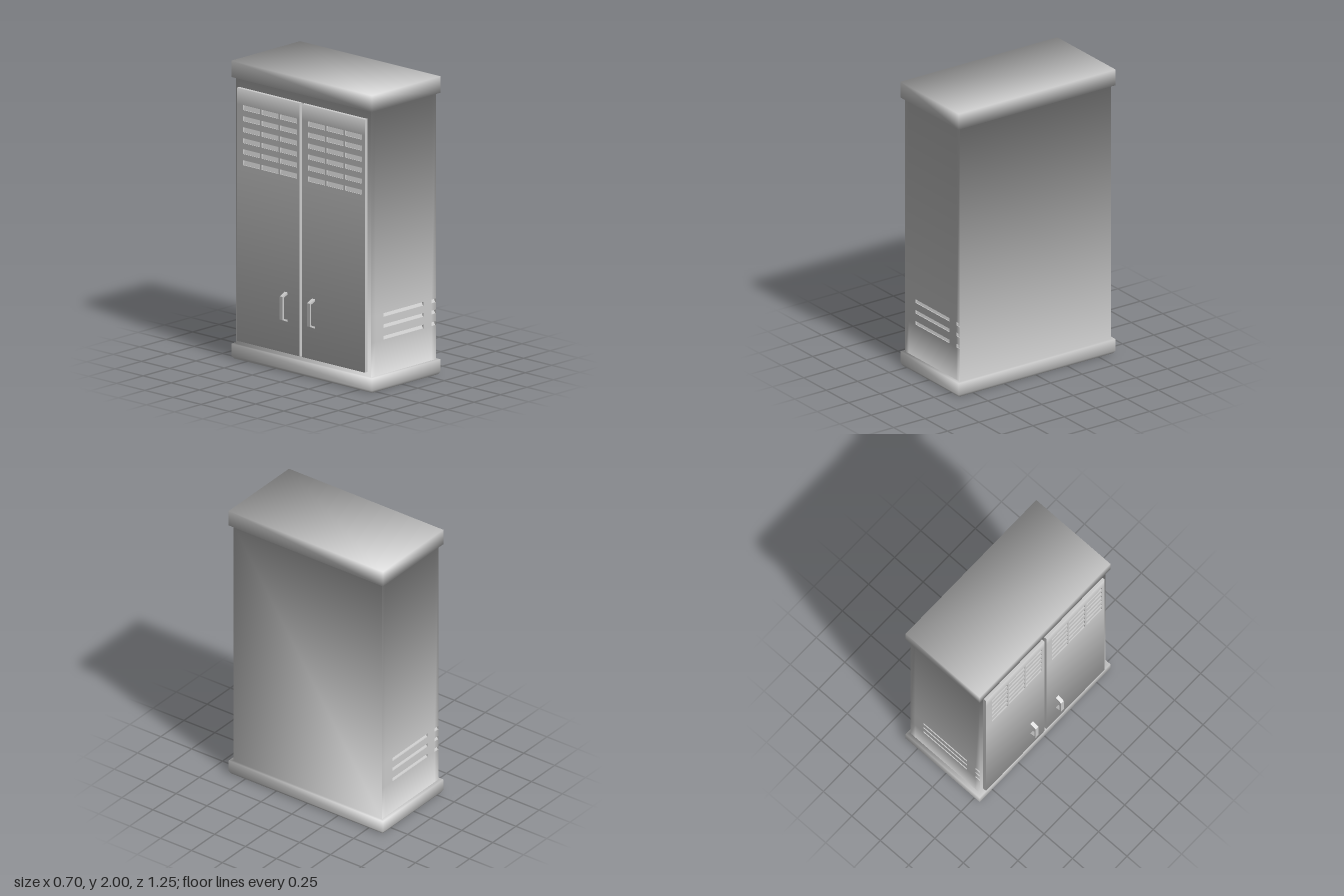
import * as THREE from 'three';

const material = new THREE.MeshStandardMaterial({ color: 0xcccccc });
const vec = (x, y, z) => new THREE.Vector3(x, y, z);
const vertex = (p, n) => ({ p, n: n.normalize() });

// Collects quads of {p, n} vertices, counter-clockwise from outside
class QuadBuilder {
  constructor() {
    this.points = [];
    this.normals = [];
  }

  quad(a, b, c, d) {
    for (const v of [a, b, c, a, c, d]) {
      this.points.push(v.p.x, v.p.y, v.p.z);
      this.normals.push(v.n.x, v.n.y, v.n.z);
    }
  }

  // Flat-shaded quad from plain points
  flatQuad(a, b, c, d) {
    const n = vec().crossVectors(c.clone().sub(a), d.clone().sub(b));
    this.quad(...[a, b, c, d].map(p => vertex(p, n)));
  }

  // Panel on a u/v grid; cells with odd column and odd row are recessed louvre slots
  slottedPanel(us, vs, depth, place, normalAt) {
    for (let i = 0; i < us.length - 1; i++) {
      for (let j = 0; j < vs.length - 1; j++) {
        const cells = [[i, j], [i + 1, j], [i + 1, j + 1], [i, j + 1]];
        const outer = cells.map(([a, b]) => place(us[a], vs[b], 0));
        if (!(i % 2 && j % 2)) {
          this.quad(...cells.map(([a, b], k) => vertex(outer[k], normalAt(a, b))));
          continue;
        }
        // Sloping floor: shallow at the lower lip, deep under the upper one
        const inner = cells.map(([a, b]) => place(us[a], vs[b], b === j ? depth * 0.3 : depth));
        this.flatQuad(...inner);
        for (let k = 0; k < 4; k++) {
          const n = (k + 1) % 4;
          this.flatQuad(outer[k], outer[n], inner[n], inner[k]);
        }
      }
    }
  }

  geometry() {
    const g = new THREE.BufferGeometry();
    g.setAttribute('position', new THREE.Float32BufferAttribute(this.points, 3));
    g.setAttribute('normal', new THREE.Float32BufferAttribute(this.normals, 3));
    return g;
  }
}

const CENTER_X = 0.025;

// Rectangle of corners with outward normals; tilt leans them up or down
function ring(y, halfX, halfZ, tilt) {
  return [[1, 1], [1, -1], [-1, -1], [-1, 1]].map(([sx, sz]) =>
    vertex(vec(CENTER_X + sx * halfX, y, sz * halfZ), vec(sx, tilt, sz)));
}

// Cabinet shell: plinth, body and top cap in one softly shaded skin
function cabinetGeometry() {
  const b = new QuadBuilder();
  const band = (lo, hi, sides = [0, 1, 2, 3]) => {
    for (const k of sides) {
      const n = (k + 1) % 4;
      b.quad(lo[n], hi[n], hi[k], lo[k]);
    }
  };
  const plinth = [
    ring(0, 0.312, 0.612, -1.2), ring(0.02, 0.325, 0.625, -0.3),
    ring(0.1, 0.325, 0.625, 1), ring(0.1, 0.305, 0.6, 0.6),
  ];
  const cap = [ring(1.89, 0.305, 0.6, -2.5), ring(1.89, 0.325, 0.625, -1), ring(2, 0.325, 0.625, 1)];
  for (const rings of [plinth, cap]) {
    for (let i = 0; i < rings.length - 1; i++) band(rings[i], rings[i + 1]);
  }
  const [t0, t1, t2, t3] = cap[2];
  b.quad(t1, t2, t3, t0);
  b.quad(...[...plinth[0]].reverse());

  // Long plain sides
  band(plinth[3], cap[0], [0, 2]);

  // Narrow ends with three vent slots, rounded off by shading at the corners
  const rows = [0.1, 0.33, 0.355, 0.408, 0.433, 0.483, 0.508, 1.89];
  const columns = [-0.28, -0.24, -0.165, 0.215, 0.29, 0.33];
  for (const s of [1, -1]) {
    const us = s > 0 ? columns : columns.map(x => -x).reverse();
    const place = (u, v, d) => vec(s * u, v, s * (0.6 - d));
    const tilt = j => (j === 0 ? 0.8 : j === rows.length - 1 ? -1 : 0);
    const lean = i => (i === 0 ? -1 : i === us.length - 1 ? 1 : 0);
    const normalAt = (i, j) => vec(s * lean(i), tilt(j), s);
    // The slot column is offset by one so that it falls on an odd index
    b.slottedPanel(us.slice(0, 2), [rows[0], rows[1]], 0, place, normalAt);
    b.slottedPanel(us.slice(0, 2), [rows[1], rows[6]], 0, place, i => normalAt(i, 1));
    b.slottedPanel(us.slice(0, 2), [rows[6], rows[7]], 0, place, (i, j) => normalAt(i, 6 + j));
    b.slottedPanel(us.slice(1), rows, 0.02, place, (i, j) => normalAt(i + 1, j));
  }
  return b.geometry();
}

// Door leaf with three columns and six rows of louvre slots
function doorGeometry(z0, z1, slotStart) {
  const b = new QuadBuilder();
  const bottom = 0.13, top = 1.83, face = -0.305, back = -0.279;
  const us = [z0], vs = [bottom];
  for (let c = 0; c < 3; c++) us.push(slotStart + c * 0.164, slotStart + c * 0.164 + 0.15);
  for (let r = 0; r < 6; r++) vs.push(1.32 + r * 0.074, 1.353 + r * 0.074);
  us.push(z1);
  vs.push(top);
  const tilt = j => (j === 0 ? -0.6 : j === vs.length - 1 ? 0.6 : 0);
  b.slottedPanel(us, vs, 0.018, (u, v, d) => vec(face + d, v, u), (i, j) => vec(-1, tilt(j), 0));

  // Door edges
  const rim = [[z0, bottom], [z1, bottom], [z1, top], [z0, top]];
  rim.forEach(([z, y], k) => {
    const [zn, yn] = rim[(k + 1) % 4];
    b.flatQuad(vec(back, y, z), vec(back, yn, zn), vec(face, yn, zn), vec(face, y, z));
  });
  return b.geometry();
}

// Bent flat-bar pull handle
function handleGeometry() {
  const outline = [
    [-0.3, 0.34], [-0.352, 0.362], [-0.352, 0.518], [-0.3, 0.542],
    [-0.3, 0.528], [-0.34, 0.51], [-0.34, 0.37], [-0.3, 0.354],
  ];
  const shape = new THREE.Shape(outline.map(([x, y]) => new THREE.Vector2(x, y)));
  const g = new THREE.ExtrudeGeometry(shape, { depth: 0.026, bevelEnabled: false });
  return g.translate(0, 0, -0.013);
}

function addMesh(group, name, geometry) {
  const mesh = new THREE.Mesh(geometry, material);
  mesh.name = name;
  group.add(mesh);
  return mesh;
}

export function createModel() {
  const group = new THREE.Group();
  group.name = 'lockerCabinet';
  addMesh(group, 'cabinetBody', cabinetGeometry());
  addMesh(group, 'backDoor', doorGeometry(-0.57, -0.012, -0.515));
  addMesh(group, 'frontDoor', doorGeometry(0.008, 0.566, 0.062));
  const handle = handleGeometry();
  addMesh(group, 'backDoorHandle', handle).position.z = -0.133;
  addMesh(group, 'frontDoorHandle', handle).position.z = 0.11;
  return group;
}
